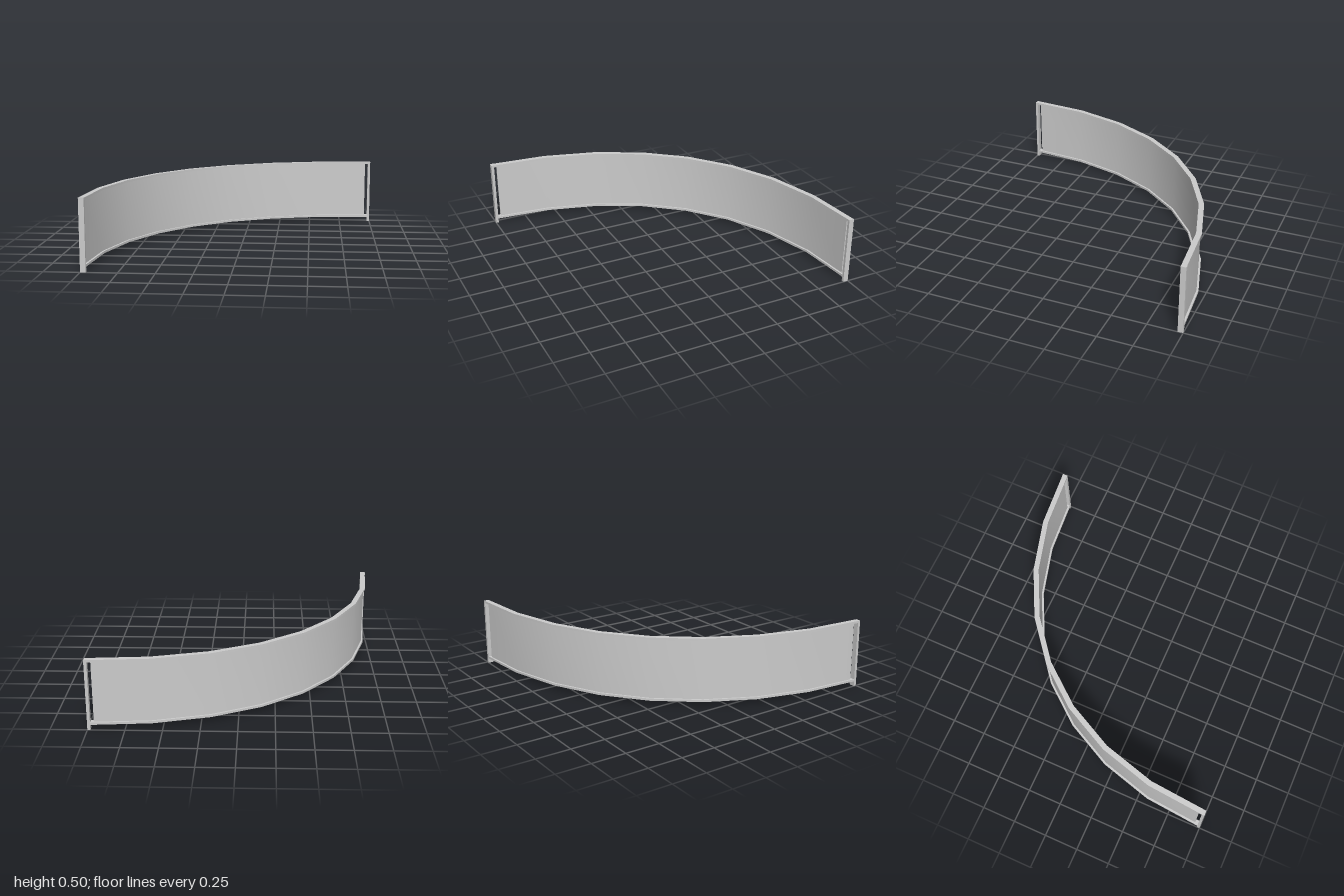
import * as THREE from 'three';
import { toCreasedNormals } from 'three/addons/utils/BufferGeometryUtils.js';

const material = new THREE.MeshStandardMaterial({ color: 0xcccccc });
const SEGMENTS = 8;
const WIDTH = 0.038;   // rail and post depth
const POST = 0.02;     // post thickness along the curve
const HEIGHT = 0.5;

// Plan of the quarter bend, drawn with shape y = -z
const path = new THREE.CubicBezierCurve(
  new THREE.Vector2(1, 0.981), new THREE.Vector2(-0.192, 0.981),
  new THREE.Vector2(-0.981, 0.192), new THREE.Vector2(-0.981, -1));

// Curved strip of given width between two heights, shortened at both ends by trim (share of a segment)
function curvedStrip(name, width, y0, y1, trim = 0) {
  const left = [], right = [];
  for (let i = 0; i <= SEGMENTS; i++) {
    const t = i / SEGMENTS;
    const p = path.getPoint(t), d = path.getTangent(t);
    const n = new THREE.Vector2(-d.y, d.x).multiplyScalar(width / 2);
    left.push(p.clone().add(n));
    right.push(p.clone().sub(n));
  }
  for (const side of [left, right]) {
    side[0].lerp(side[1], trim);
    side[SEGMENTS].lerp(side[SEGMENTS - 1], trim);
  }
  const outline = new THREE.Shape([...left, ...right.reverse()]);
  const geometry = new THREE.ExtrudeGeometry(outline, { depth: y1 - y0, bevelEnabled: false });
  geometry.rotateX(-Math.PI / 2).translate(0, y0, 0);
  const mesh = new THREE.Mesh(toCreasedNormals(geometry, 0.5), material);
  mesh.name = name;
  return mesh;
}

function post(name, sx, sz, x, z) {
  const mesh = new THREE.Mesh(new THREE.BoxGeometry(sx, HEIGHT, sz), material);
  mesh.name = name;
  mesh.position.set(x, HEIGHT / 2, z);
  return mesh;
}

export function createModel() {
  const group = new THREE.Group();
  group.name = 'curvedBarrier';

  // Top and bottom rails
  group.add(curvedStrip('topRail', WIDTH, HEIGHT - 0.016, HEIGHT));
  group.add(curvedStrip('bottomRail', WIDTH, 0.036, 0.052));

  // Thin infill panel, stopping short of the posts
  group.add(curvedStrip('panel', 0.01, 0.052, HEIGHT - 0.016, 0.1));

  // End posts, reaching the floor
  group.add(post('backPost', POST, WIDTH, 1 - POST / 2, -0.981));
  group.add(post('frontPost', WIDTH, POST, -0.981, 1 - POST / 2));
  return group;
}
